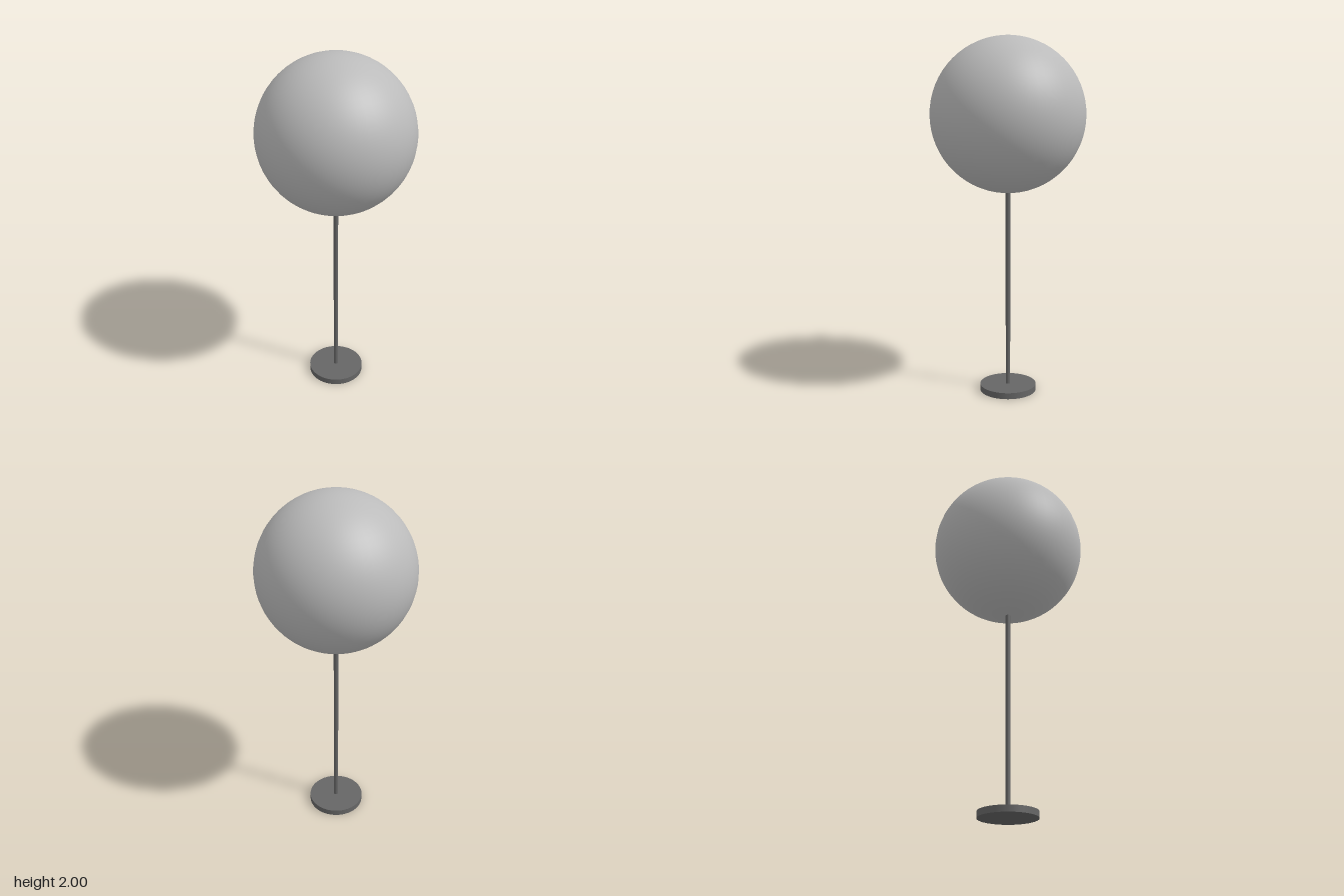
import * as THREE from 'three';

export function createModel() {
  const model = new THREE.Group();
  const globeGrey = new THREE.MeshStandardMaterial({ color: 0xbbbbbb });
  globeGrey.name = 'light grey';
  const metalGrey = new THREE.MeshStandardMaterial({ color: 0x666666 });
  metalGrey.name = 'dark grey';

  const add = (name, geometry, material, y) => {
    const mesh = new THREE.Mesh(geometry, material);
    mesh.name = name;
    mesh.position.y = y;
    model.add(mesh);
  };

  const radius = 0.428;
  const baseHeight = 0.035;
  const globeY = 2 - radius;
  const poleTop = globeY - radius + 0.02; // slightly sunk into the globe

  // Round foot
  add('base', new THREE.CylinderGeometry(0.16, 0.16, baseHeight, 48), metalGrey, baseHeight / 2);
  // Thin stem
  add('pole', new THREE.CylinderGeometry(0.013, 0.013, poleTop - baseHeight, 24), metalGrey, (poleTop + baseHeight) / 2);
  // Large ball on top
  add('globe', new THREE.SphereGeometry(radius, 48, 32), globeGrey, globeY);

  return model;
}
